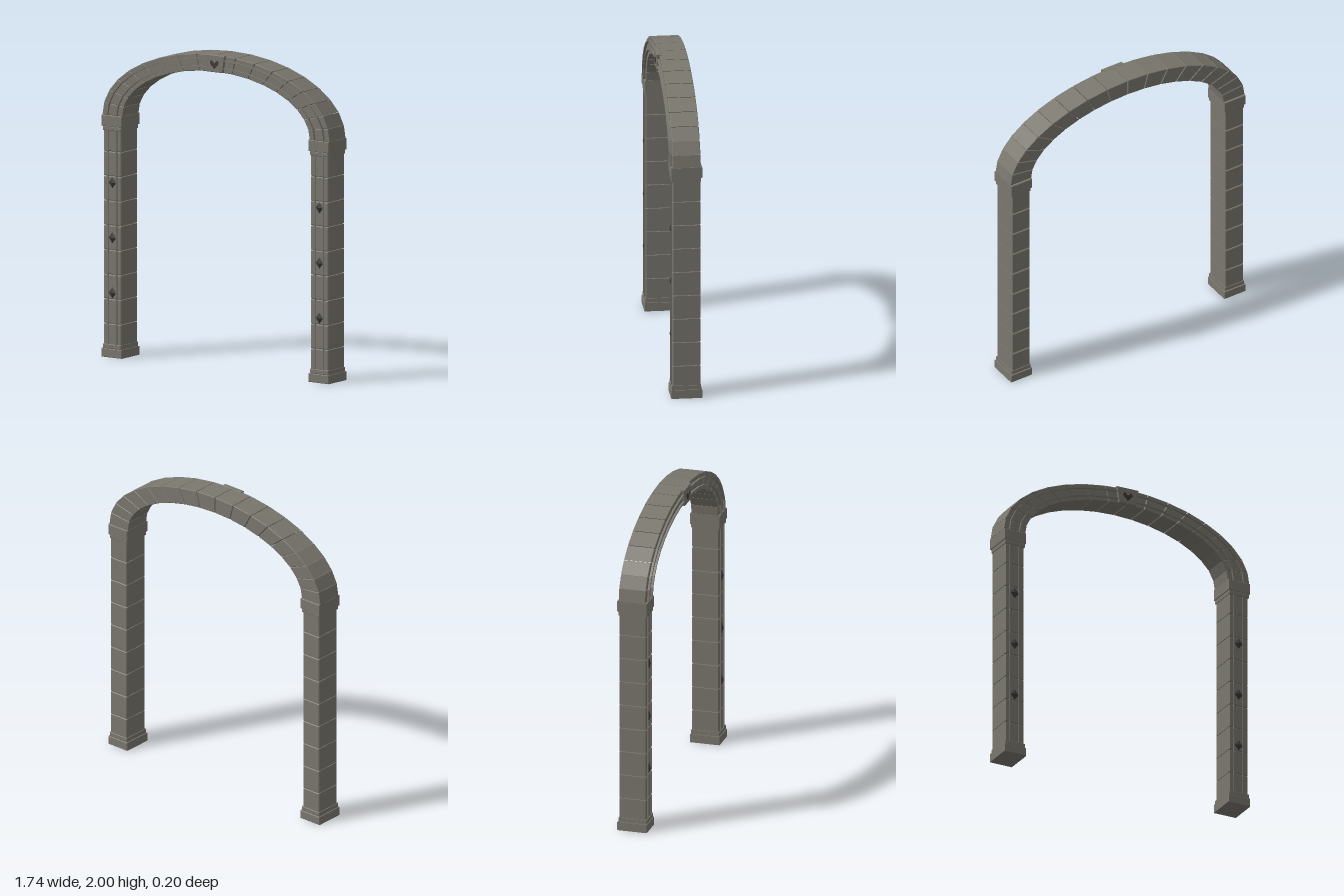
import * as THREE from 'three';

const stone = new THREE.MeshStandardMaterial({ color: 0x7a776e });
stone.name = 'stone';
const darkStone = new THREE.MeshStandardMaterial({ color: 0x3b3a37 });
darkStone.name = 'dark stone';

// Prism from a front outline between two depths, with chamfered edges.
function block(name, points, back, front, bevel = 0, material = stone) {
  const shape = new THREE.Shape(points.map(([x, y]) => new THREE.Vector2(x, y)));
  const geometry = new THREE.ExtrudeGeometry(shape, {
    depth: front - back - 2 * bevel,
    bevelEnabled: bevel > 0,
    bevelSize: bevel,
    bevelThickness: bevel,
    bevelOffset: -bevel,
    bevelSegments: 1,
  });
  geometry.translate(0, 0, back + bevel);
  const mesh = new THREE.Mesh(geometry, material);
  mesh.name = name;
  return mesh;
}

const rect = (cx, halfWidth, y0, y1) => [
  [cx - halfWidth, y0], [cx + halfWidth, y0], [cx + halfWidth, y1], [cx - halfWidth, y1],
];

// Point on the arch: degrees from the right springing, t = 0 inner edge, 1 outer edge.
const SPRING = 1.535;
function archPoint(degrees, t) {
  const a = THREE.MathUtils.degToRad(degrees);
  return [(0.717 + 0.155 * t) * Math.cos(a), SPRING + (0.358 + 0.107 * t) * Math.sin(a)];
}

function makePillar(name, cx) {
  const pillar = new THREE.Group();
  pillar.name = name;

  // Stepped base and capital
  pillar.add(
    block('baseSlab', rect(cx, 0.078, 0, 0.055), -0.102, 0.094, 0.003),
    block('baseStep', rect(cx, 0.071, 0.055, 0.083), -0.096, 0.09, 0.003),
    block('capitalStep', rect(cx, 0.071, 1.438, 1.464), -0.096, 0.09, 0.003),
    block('capitalSlab', rect(cx, 0.078, 1.464, SPRING), -0.102, 0.094, 0.003),
  );

  // Stacked shaft blocks
  const height = 0.156, gap = 0.004;
  for (let i = 0; i < 9; i++) {
    const y = 0.057 + i * height;
    pillar.add(block('shaftBlock', rect(cx, 0.066, y + gap / 2, y + height - gap / 2), -0.092, 0.083, 0.004));
  }

  // Thin raised rails on the front
  for (const side of [-1, 1]) {
    pillar.add(block('shaftRail', rect(cx + side * 0.033, 0.004, 0.08, 1.44), 0.08, 0.09));
  }

  // Faceted dark studs
  for (const y of [0.41, 0.76, 1.11]) {
    const stud = new THREE.Mesh(new THREE.OctahedronGeometry(1), darkStone);
    stud.name = 'diamondStud';
    stud.scale.set(0.029, 0.036, 0.013);
    stud.position.set(cx, y, 0.083);
    pillar.add(stud);
  }
  return pillar;
}

function makeArch() {
  const arch = new THREE.Group();
  arch.name = 'arch';

  // Wedge blocks, ten degrees each
  const gap = 0.15;
  for (let d = 0; d < 180; d += 10) {
    const a = d + gap, b = d + 10 - gap;
    arch.add(block('archBlock',
      [archPoint(a, 0), archPoint(a, 1), archPoint(b, 1), archPoint(b, 0)], -0.092, 0.083, 0.003));
  }

  // Two raised rails following the curve
  for (const t of [0.27, 0.73]) {
    const outer = [], inner = [];
    for (let d = 0; d <= 180; d += 10) {
      outer.push(archPoint(d, t + 0.035));
      inner.unshift(archPoint(d, t - 0.035));
    }
    arch.add(block('archRail', [...outer, ...inner], 0.08, 0.097));
  }

  // Keystone with a dark heart
  arch.add(
    block('keystone', [[-0.06, 1.892], [0.06, 1.892], [0.077, 2.0], [-0.077, 2.0]], 0.07, 0.1, 0.003),
    block('keystoneHeart', [
      [0, 1.912], [0.034, 1.948], [0.032, 1.96], [0.02, 1.967],
      [0, 1.947], [-0.02, 1.967], [-0.032, 1.96], [-0.034, 1.948],
    ], 0.096, 0.102, 0, darkStone),
  );
  return arch;
}

export function createModel() {
  const model = new THREE.Group();
  model.name = 'stoneArchway';
  model.add(makePillar('leftPillar', 0.794), makePillar('rightPillar', -0.794), makeArch());
  return model;
}
